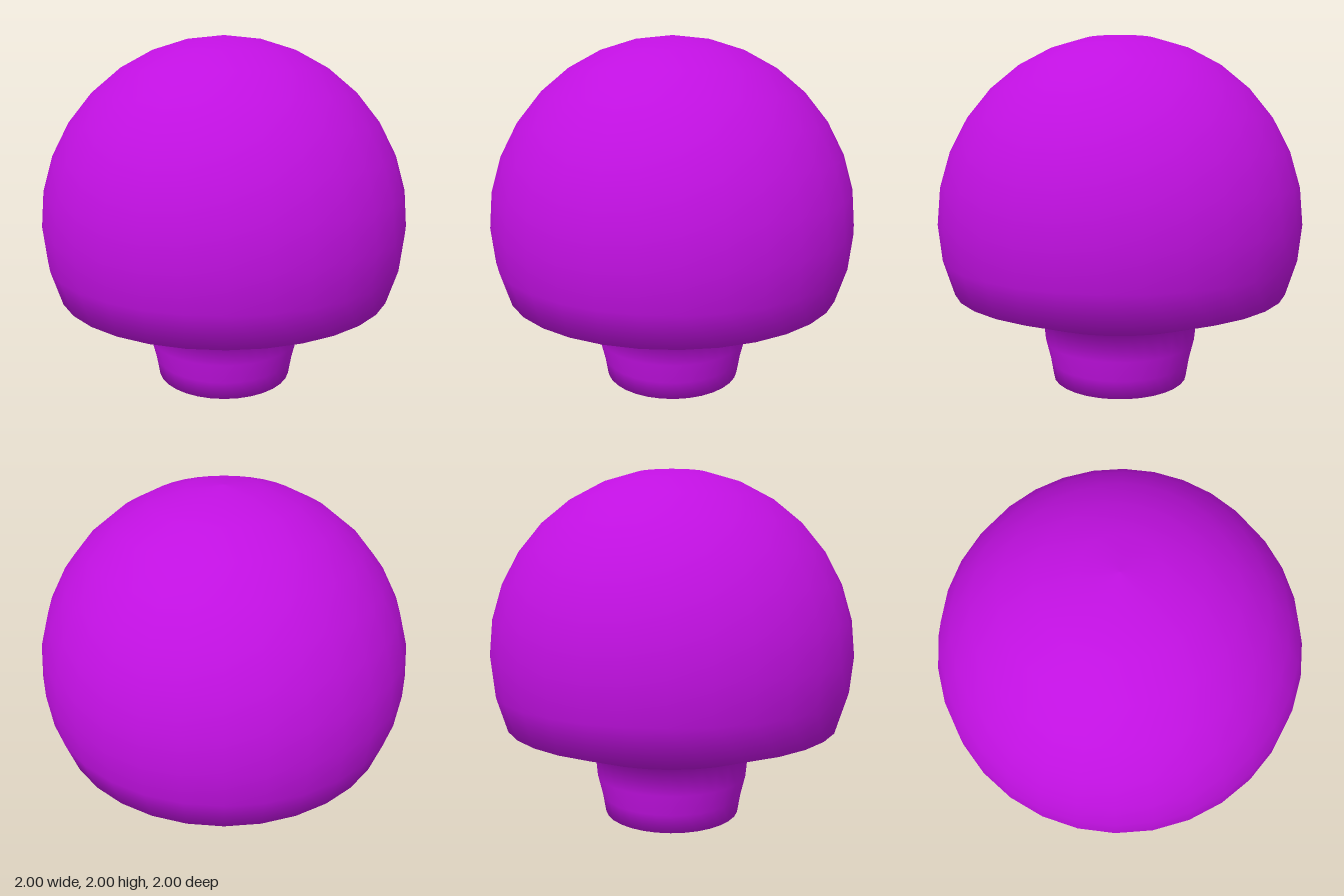
import * as THREE from 'three';

export function createModel() {
  const group = new THREE.Group();
  const material = new THREE.MeshStandardMaterial({ color: 0xc010e0 });
  const point = (r, y) => new THREE.Vector2(r, y);

  // rounded foot, tapered stem and underside of the cap, from the bottom up
  const profile = [
    point(0, 0), point(0.195, 0.02), point(0.383, 0.076),
    point(0.4, 0.18), point(0.428, 0.295), point(0.442, 0.446),
    point(0.595, 0.494),
  ];

  // domed cap: unit sphere from the rim to the top, in steps of 1/32 turn
  for (let i = -2; i <= 8; i++) {
    const a = (i * Math.PI) / 16;
    profile.push(point(i === 8 ? 0 : Math.cos(a), 1 + Math.sin(a)));
  }

  // cap and stem are one continuous smooth skin
  const mushroom = new THREE.Mesh(new THREE.LatheGeometry(profile, 32), material);
  mushroom.name = 'capAndStem';
  group.add(mushroom);
  return group;
}
